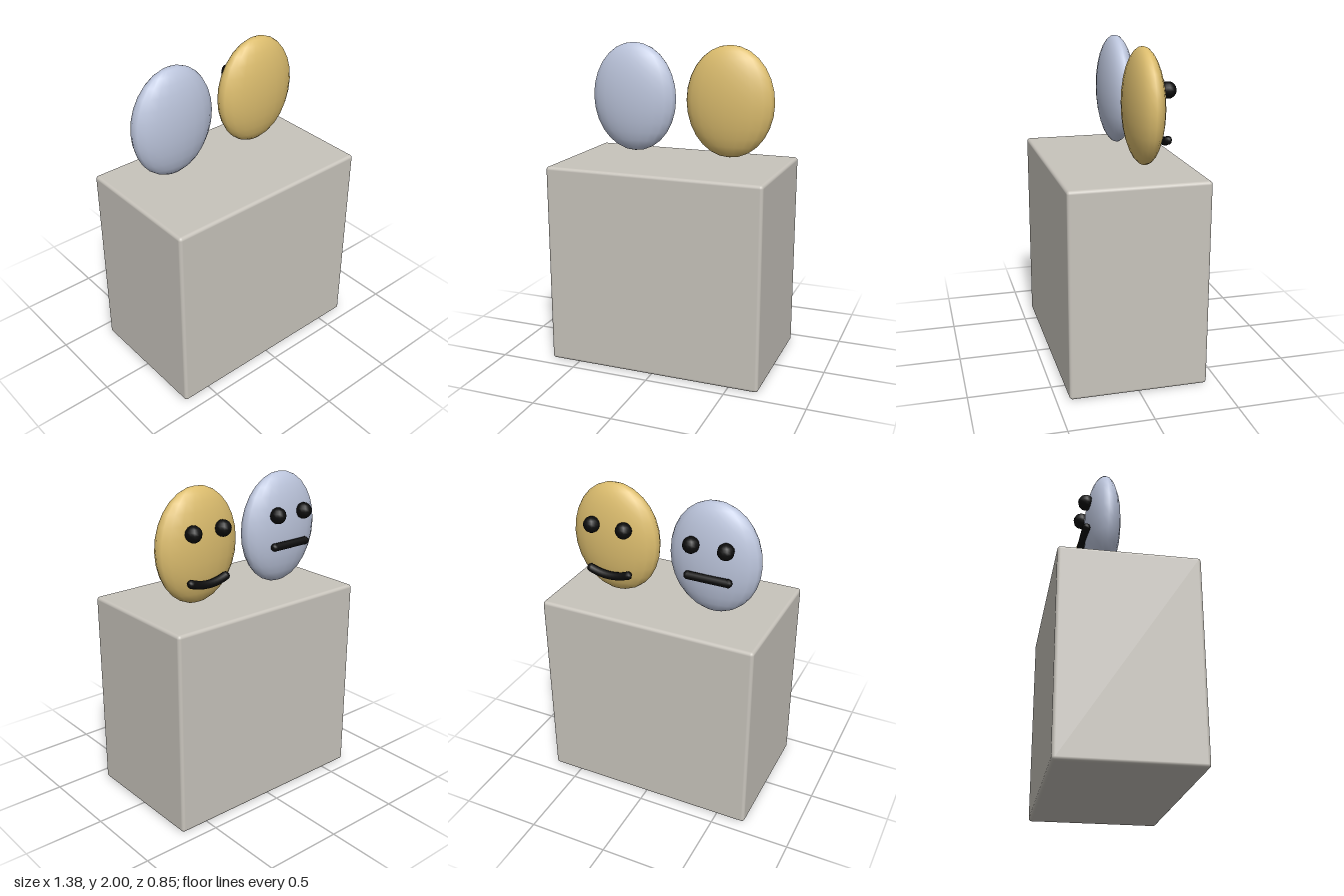
import * as THREE from 'three';
import { RoundedBoxGeometry } from 'three/addons/geometries/RoundedBoxGeometry.js';

const material = (name, color) => {
  const m = new THREE.MeshStandardMaterial({ color });
  m.name = name;
  return m;
};

export function createModel() {
  const stone = material('warm grey', 0xc8c4bc);
  const silver = material('pale blue', 0xbcc5dc);
  const gold = material('gold', 0xdcbd6e);
  const black = material('black', 0x0c0c0c);

  const model = new THREE.Group();
  model.name = 'masksOnBlock';

  const add = (parent, name, geometry, mat, x, y, z) => {
    const mesh = new THREE.Mesh(geometry, mat);
    mesh.name = name;
    mesh.position.set(x, y, z);
    parent.add(mesh);
    return mesh;
  };

  // Block with softly rounded edges
  add(model, 'block', new RoundedBoxGeometry(1.375, 1.27, 0.845, 3, 0.02), stone, 0, 0.64, 0);

  // Flattened face looking backwards, with eyes and a mouth that may curve
  const addFace = (name, x, mat, mouthY, sag) => {
    const face = new THREE.Group();
    face.name = name;
    face.position.set(x, 1.653, -0.11);
    model.add(face);

    const head = add(face, 'head', new THREE.SphereGeometry(1, 20, 14), mat, 0, 0, 0);
    head.scale.set(0.285, 0.347, 0.11);

    for (const side of [-1, 1]) {
      add(face, side < 0 ? 'rightEye' : 'leftEye',
        new THREE.SphereGeometry(0.05, 12, 8), black, side * 0.106, 0.107, -0.117);
    }

    // Mouth tube with rounded ends
    const half = 0.125, r = 0.026;
    const curve = new THREE.QuadraticBezierCurve3(
      new THREE.Vector3(-half, 0, 0),
      new THREE.Vector3(0, -2 * sag, 0),
      new THREE.Vector3(half, 0, 0));
    add(face, 'mouth', new THREE.TubeGeometry(curve, 10, r, 8), black, 0, mouthY, -0.115);
    for (const side of [-1, 1]) {
      add(face, 'mouthCorner', new THREE.SphereGeometry(r, 8, 6), black, side * half, mouthY, -0.115);
    }
  };

  addFace('neutralFace', -0.32, silver, -0.087, 0);
  addFace('smilingFace', 0.32, gold, -0.182, 0.025);

  return model;
}
